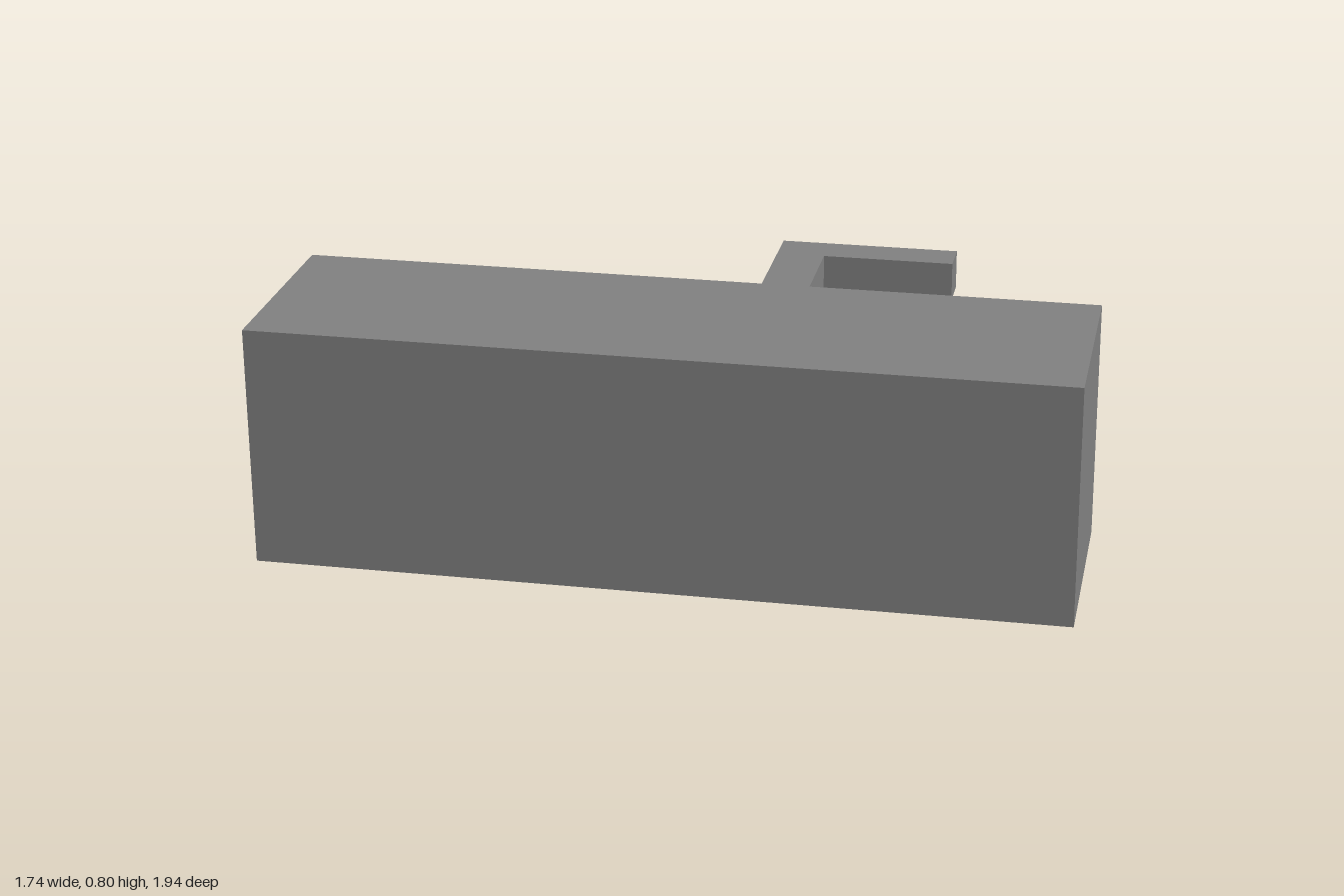
import * as THREE from 'three';

const material = new THREE.MeshStandardMaterial({ color: 0x808080, flatShading: true });

// Box given by its lower and upper limits on each axis
function addBox(group, name, [x0, x1], [y0, y1], [z0, z1]) {
  const mesh = new THREE.Mesh(new THREE.BoxGeometry(x1 - x0, y1 - y0, z1 - z0), material);
  mesh.position.set((x0 + x1) / 2, (y0 + y1) / 2, (z0 + z1) / 2);
  mesh.name = name;
  group.add(mesh);
}

export function createModel() {
  const group = new THREE.Group();
  group.name = 'corridorModel';

  // Large hall, small antechamber and the short doorway joining them
  addBox(group, 'mainHall', [-0.87, 0.87], [0.27, 0.797], [0.53, 1]);
  addBox(group, 'antechamber', [-0.15, 0.15], [0.27, 0.562], [0.135, 0.51]);
  addBox(group, 'doorway', [-0.055, 0.055], [0.27, 0.378], [0.51, 0.53]);

  // Corridor side profile as (z, y): level, ramp down, shaft up, level
  const profile = [
    [0.135, 0.27], [-0.065, 0.27], [-0.465, 0], [-0.635, 0], [-0.635, 0.27], [-0.94, 0.27],
    [-0.94, 0.371], [-0.54, 0.371], [-0.54, 0.14], [-0.46, 0.14], [-0.095, 0.385], [0.135, 0.385],
  ];
  const shape = new THREE.Shape(profile.map(([z, y]) => new THREE.Vector2(-z, y)));
  const geometry = new THREE.ExtrudeGeometry(shape, { depth: 0.124, bevelEnabled: false });
  geometry.translate(0, 0, -0.062).rotateY(Math.PI / 2);
  const corridor = new THREE.Mesh(geometry, material);
  corridor.name = 'corridor';
  group.add(corridor);

  // Side arm at the far end
  addBox(group, 'entranceArm', [0.062, 0.4], [0.27, 0.371], [-0.94, -0.84]);

  return group;
}
